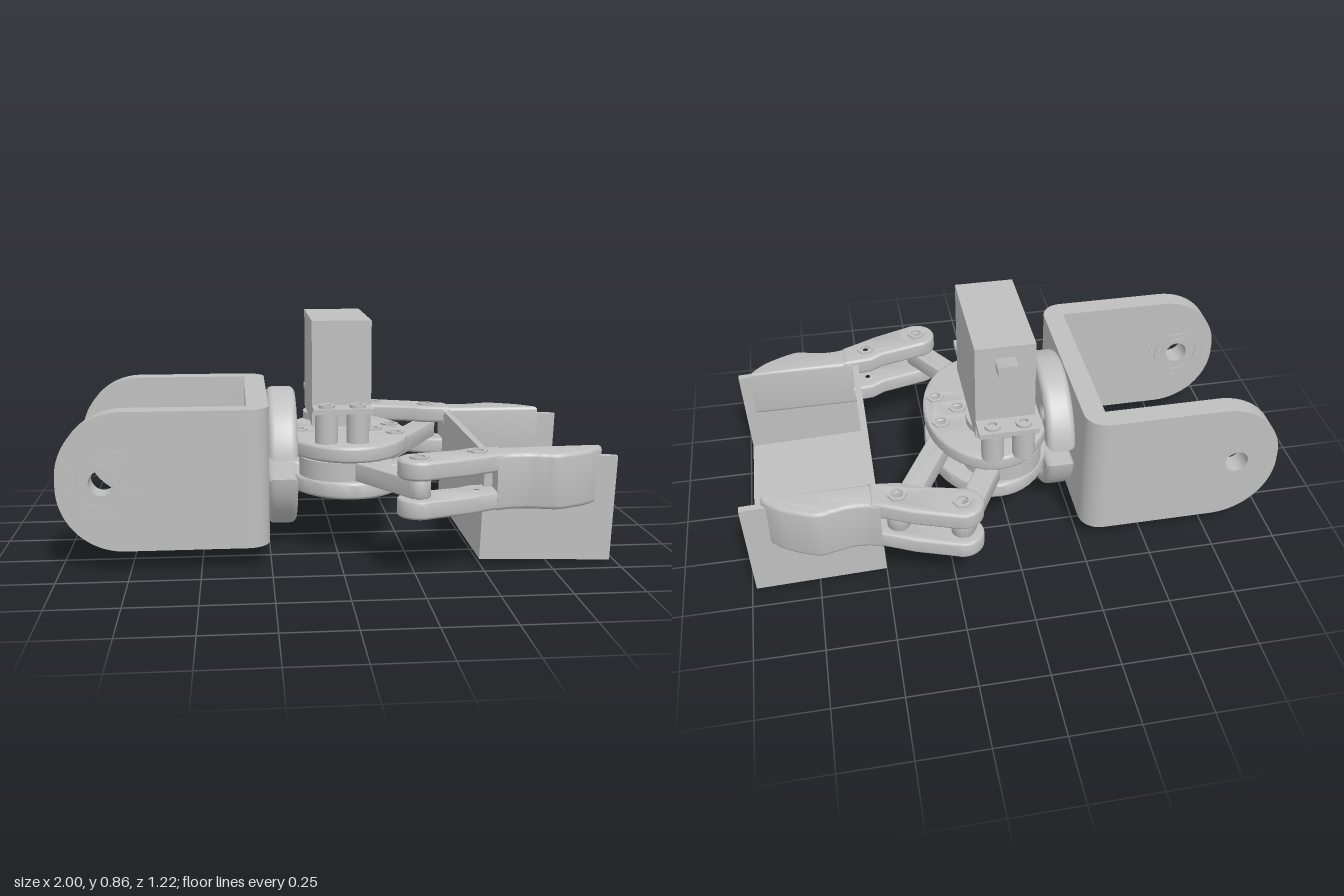
import * as THREE from 'three';
import { toCreasedNormals } from 'three/addons/utils/BufferGeometryUtils.js';

const grey = new THREE.MeshStandardMaterial({ color: 0xbfbfbf });
grey.name = 'plain grey';

export function createModel() {
  const root = new THREE.Group();
  root.name = 'gripper';

  const add = (name, geo, x = 0, y = 0, z = 0, parent = root) => {
    const m = new THREE.Mesh(geo, grey);
    m.name = name;
    m.position.set(x, y, z);
    parent.add(m);
    return m;
  };
  const box = (name, x0, x1, y0, y1, z0, z1, parent) =>
    add(name, new THREE.BoxGeometry(x1 - x0, y1 - y0, z1 - z0), (x0 + x1) / 2, (y0 + y1) / 2, (z0 + z1) / 2, parent);
  const rod = (name, r, x, y0, y1, z, sides = 32) =>
    add(name, new THREE.CylinderGeometry(r, r, y1 - y0, sides), x, (y0 + y1) / 2, z);
  const hole = (shape, x, y, r) => {
    shape.holes.push(new THREE.Path().absarc(x, y, r, 0, Math.PI * 2, true));
    return shape;
  };
  const disc = (x, y, r) => new THREE.Shape().absarc(x, y, r, 0, Math.PI * 2, false);
  // Extrusion along z from 0 to depth, with an inward edge rounding b
  const extrude = (shape, depth, b = 0) => toCreasedNormals(new THREE.ExtrudeGeometry(shape, {
    depth: depth - 2 * b, bevelEnabled: b > 0, bevelThickness: b, bevelSize: b,
    bevelOffset: -b, bevelSegments: 4, curveSegments: 24,
  }).translate(0, 0, b), 0.6);
  // Flat plate: the shape is drawn in (x, -z) and raised from y0 to y1
  const plate = (name, shape, y0, y1, b = 0) =>
    add(name, extrude(shape, y1 - y0, b).rotateX(-Math.PI / 2), 0, y0);
  // Plate facing +x: the shape is drawn in (-z, y)
  const facing = (name, shape, x0, x1, b = 0) =>
    add(name, extrude(shape, x1 - x0, b).rotateY(Math.PI / 2), x0);

  // U bracket: two round-ended arms, base and rounded corners
  const R = 0.235, midY = 0.33;
  for (const s of [1, -1]) {
    const arm = new THREE.Shape();
    arm.moveTo(-0.335, 0.08).lineTo(-0.335, 0.58).lineTo(-1 + R, 0.58);
    arm.absarc(-1 + R, 0.58 - R, R, Math.PI / 2, Math.PI, false);
    arm.absarc(-1 + R, 0.08 + R, R, Math.PI, Math.PI * 1.5, false);
    hole(arm, -0.84, midY, 0.045);
    add('bracketArm', extrude(arm, 0.08), 0, 0, s > 0 ? 0.33 : -0.41);
    add('bracketCorner', new THREE.CylinderGeometry(0.08, 0.08, 0.5, 16, 1, false, s > 0 ? 0 : Math.PI / 2, Math.PI / 2),
      -0.335, midY, s * 0.33);
  }
  const base = new THREE.Shape();
  base.moveTo(-0.33, 0.08).lineTo(0.33, 0.08).lineTo(0.33, 0.58).lineTo(-0.33, 0.58);
  for (const z of [-0.14, 0.14]) for (const y of [0.19, 0.46]) hole(base, z, y, 0.02);
  facing('bracketBase', base, -0.335, -0.255);

  // Bearing in the front arm, showing on both faces
  for (const z of [0.326, 0.408]) {
    for (const [outer, inner] of [[0.065, 0.045], [0.093, 0.085]])
      add('bearingRing', extrude(hole(disc(0, 0, outer), 0, 0, inner), 0.006), -0.84, midY, z);
    for (let i = 0; i < 28; i++) {
      const a = (i / 28) * Math.PI * 2;
      const dash = add('bearingDash', new THREE.BoxGeometry(0.016, 0.006, 0.006),
        -0.84 + 0.12 * Math.cos(a), midY + 0.12 * Math.sin(a), z + 0.003);
      dash.rotation.z = a + Math.PI / 2;
    }
  }

  // Split round flange behind the gripper
  const fr = 0.265, fy = 0.325, fa = Math.asin(0.035 / fr);
  for (const s of [1, -1]) {
    const half = new THREE.Shape();
    half.absarc(0, fy, fr, s > 0 ? fa : Math.PI + fa, s > 0 ? Math.PI - fa : Math.PI * 2 - fa, false);
    for (const z of [-0.14, 0.14]) hole(half, z, fy + s * 0.135, 0.02);
    facing('flangeHalf', half, -0.255, -0.145, 0.025);
  }

  // Oval body plates with bolt holes and hexagonal nuts
  const bolts = [[-0.13, 0], [0.16, 0], [0.235, -0.08], [0.235, 0.08]];
  for (const [y0, y1] of [[0.225, 0.288], [0.36, 0.42]]) {
    const oval = new THREE.Shape().absellipse(0.05, 0, 0.24, 0.33, 0, Math.PI * 2, false);
    for (const [x, z] of bolts) hole(oval, x, -z, 0.022);
    plate('bodyPlate', oval, y0, y1, 0.012);
  }
  const nut = (x, z, y) => {
    const hex = new THREE.Shape();
    for (let i = 0; i < 6; i++) {
      const a = (i * Math.PI) / 3;
      hex[i ? 'lineTo' : 'moveTo'](x + 0.036 * Math.cos(a), -z + 0.036 * Math.sin(a));
    }
    plate('nut', hole(hex, x, -z, 0.021), y, y + 0.007);
  };
  for (const [x, z] of bolts) nut(x, z, 0.419);

  // Link bar between two pivots
  const link = (name, ax, az, bx, bz) => {
    const r = 0.042, a = Math.atan2(az - bz, bx - ax), q = Math.PI / 2;
    const s = new THREE.Shape();
    s.absarc(ax, -az, r, a + q, a + 3 * q, false);
    s.absarc(bx, -bz, r, a - q, a + q, false);
    hole(hole(s, ax, -az, 0.02), bx, -bz, 0.02);
    plate(name, s, 0.288, 0.358, 0.006);
  };

  // Fingers: forked knuckle and a solid curved tip
  const fork = [[0.2, 0.47], [0.38, 0.425], [0.43, 0.395], [0.54, 0.383], [0.54, 0.494], [0.48, 0.52], [0.4, 0.558], [0.25, 0.61]];
  const tipInner = [[0.51, 0.383], [0.92, 0.383]];
  const tipOuter = [[0.91, 0.405], [0.85, 0.46], [0.74, 0.51], [0.68, 0.503], [0.62, 0.49], [0.56, 0.492], [0.51, 0.508]];
  const finger = (s, dx, dz) => {
    const px = 0.225 + dx, pz = s * (0.54 + dz);
    const P = ([x, z]) => new THREE.Vector2(x + dx, -s * (z + dz));
    for (const [y0, y1] of [[0.222, 0.288], [0.358, 0.426]]) {
      const f = new THREE.Shape(fork.map(P));
      hole(f, 0.445 + dx, -s * (0.465 + dz), 0.022);
      plate('fingerFork', f, y0, y1, 0.012);
      plate('fingerKnuckle', hole(disc(px, -pz, 0.075), px, -pz, 0.022), y0, y1, 0.012);
    }
    const t = new THREE.Shape();
    t.setFromPoints(tipInner.map(P));
    t.splineThru(tipOuter.map(P));
    plate('fingerTip', t, 0.218, 0.422, 0.015);
    nut(px, pz, 0.425);
    nut(0.445 + dx, s * (0.465 + dz), 0.425);
    link('driveLink', 0.015, s * 0.155, px, pz);
    rod('driveGear', 0.152, 0.015, 0.288, 0.358, s * 0.155, 40);
  };
  finger(-1, 0, 0);
  finger(1, 0.03, -0.015);
  link('idlerLink', 0.235, -0.08, 0.445, -0.465);

  // Open tray held between the fingers, tipped slightly forward
  const tray = new THREE.Group();
  tray.name = 'tray';
  tray.position.set(0.5, 0.017, 0);
  tray.rotation.z = -0.034;
  root.add(tray);
  box('trayFloor', 0, 0.485, 0, 0.035, -0.412, 0.412, tray);
  box('trayBackWall', 0, 0.025, 0, 0.39, -0.412, 0.412, tray);
  for (const s of [1, -1]) {
    const [a, b] = [s * 0.386, s * 0.412].sort((p, q) => p - q);
    box('traySide', 0, 0.485, 0, 0.39, a, b, tray);
  }

  // Servo with mounting tabs, connector and output horn
  box('servoBody', -0.09, 0.13, 0.47, 0.862, -0.26, 0.18);
  box('servoTab', -0.09, 0.13, 0.53, 0.55, -0.345, 0.27);
  const plug = add('servoConnector', new THREE.CylinderGeometry(0.02 * Math.SQRT2, 0.036 * Math.SQRT1_2 * 1.1, 0.06, 4, 1).rotateY(Math.PI / 4).rotateX(-Math.PI / 2),
    0.02, 0.797, -0.288);
  plug.scale.x = 1.8;
  rod('servoGearCap', 0.125, 0.02, 0.445, 0.472, -0.13);
  rod('servoHorn', 0.06, 0.02, 0.415, 0.447, -0.14);
  for (const z of [0.23, -0.305]) {
    for (const x of [-0.04, 0.075]) {
      rod('mountPost', 0.042, x, 0.415, 0.53, z);
      add('mountScrew', extrude(hole(disc(0, 0, 0.03), 0, 0, 0.016), 0.012).rotateX(-Math.PI / 2), x, 0.549, z);
    }
  }
  return root;
}
